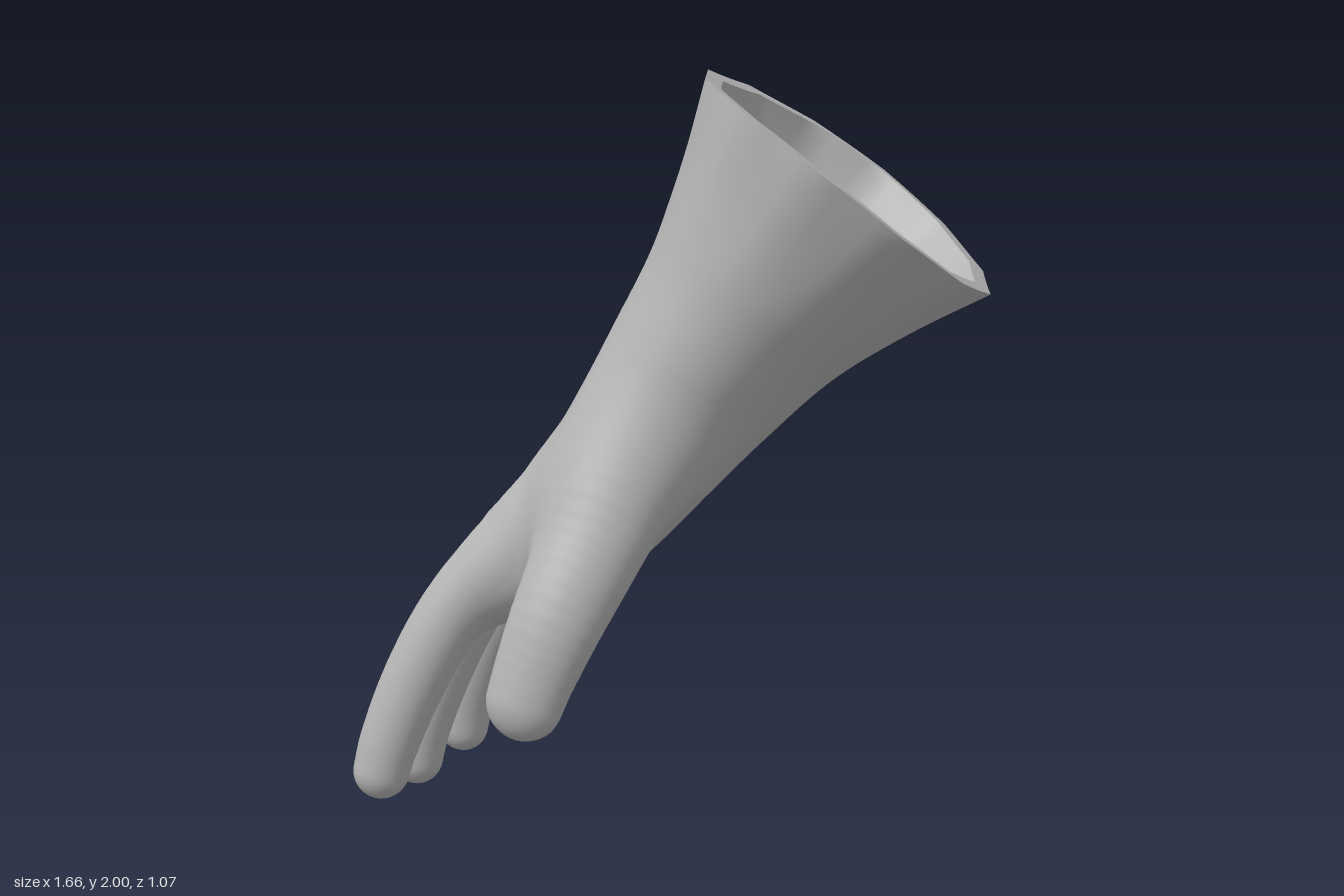
import * as THREE from 'three';

const SEG = 48, WRIST = 0.6, CELL = 0.016;
const glove = new THREE.MeshStandardMaterial({ color: 0xb4b4b4 });
glove.name = 'glove grey';

// Arm frame: origin at the rim centre, s runs down to the fingers, u toward the back of the hand
const ORIGIN = new THREE.Vector3(0.4525, 1.715, 0);
const DOWN = new THREE.Vector3(-0.608, -0.794, 0);
const BACK = new THREE.Vector3(-0.794, 0.608, 0);

// Sections from rim to knuckles: s, back u, palm u, z min, z max, squareness
const SECTIONS = [
  [0, 0.469, -0.469, -0.535, 0.425, 2],
  [0.2, 0.38, -0.375, -0.465, 0.36, 2],
  [0.42, 0.303, -0.293, -0.41, 0.318, 2],
  [0.65, 0.257, -0.25, -0.39, 0.31, 2.1],
  [0.9, 0.212, -0.217, -0.4, 0.312, 2.3],
  [1.1, 0.21, -0.193, -0.42, 0.295, 2.4],
  [1.25, 0.205, -0.165, -0.435, 0.275, 2.5],
  [1.38, 0.195, -0.115, -0.425, 0.25, 2.5],
  [1.47, 0.16, -0.065, -0.39, 0.21, 2.5],
];
const profile = new THREE.CubicInterpolant(
  new Float32Array(SECTIONS.map(s => s[0])), new Float32Array(SECTIONS.flatMap(s => s.slice(1))), 5);

// Digits: path points [x, y, z, radius], in-plane and sideways width, blend into the hand
const DIGITS = [
  { pts: [[-0.36, 0.79, 0.145, 0.09], [-0.46, 0.69, 0.175, 0.092], [-0.57, 0.55, 0.205, 0.087],
    [-0.665, 0.37, 0.235, 0.083], [-0.73, 0.2, 0.26, 0.077], [-0.75, 0.125, 0.268, 0.073]], fu: 1.06, fv: 0.97, blend: 0.07 },
  { pts: [[-0.37, 0.79, 0.02, 0.09], [-0.47, 0.69, 0.02, 0.09], [-0.58, 0.53, 0.015, 0.084],
    [-0.675, 0.34, 0.01, 0.08], [-0.74, 0.16, 0.012, 0.074], [-0.758, 0.075, 0.012, 0.07]], fu: 1.06, fv: 0.97, blend: 0.07 },
  { pts: [[-0.35, 0.79, -0.13, 0.09], [-0.45, 0.68, -0.155, 0.09], [-0.55, 0.52, -0.18, 0.083],
    [-0.635, 0.35, -0.2, 0.079], [-0.695, 0.18, -0.22, 0.073], [-0.712, 0.1, -0.226, 0.07]], fu: 1.06, fv: 0.97, blend: 0.07 },
  { pts: [[-0.32, 0.78, -0.32, 0.09], [-0.41, 0.68, -0.35, 0.088], [-0.5, 0.53, -0.375, 0.08],
    [-0.57, 0.38, -0.395, 0.074], [-0.625, 0.25, -0.415, 0.067], [-0.642, 0.187, -0.42, 0.064]], fu: 1.06, fv: 0.97, blend: 0.07 },
  { pts: [[0.04, 1.17, 0.08, 0.1], [-0.03, 1.03, 0.19, 0.125], [-0.09, 0.9, 0.275, 0.126], [-0.14, 0.76, 0.347, 0.115],
    [-0.195, 0.61, 0.415, 0.102], [-0.245, 0.47, 0.448, 0.09], [-0.262, 0.415, 0.458, 0.086]], fu: 1.17, fv: 0.85, blend: 0.12 },
].map(d => {
  const path = new THREE.CatmullRomCurve3(d.pts.map(p => new THREE.Vector3(p[0] / d.fu, p[1] / d.fu, p[2] / d.fv)));
  const radius = new THREE.CatmullRomCurve3(d.pts.map(p => new THREE.Vector3(p[3], 0, 0)));
  const segs = Array.from({ length: 24 }, (_, i) => {
    const a = path.getPoint(i / 24), b = path.getPoint((i + 1) / 24).sub(a);
    const r = radius.getPoint(i / 24).x;
    return { a, b, bb: b.lengthSq(), r, dr: radius.getPoint((i + 1) / 24).x - r };
  });
  return { ...d, segs };
});

const smin = (a, b, k) => Math.min(a, b) - Math.max(k - Math.abs(a - b), 0) ** 2 / (4 * k);
const along = p => (p[0] - ORIGIN.x) * DOWN.x + (p[1] - ORIGIN.y) * DOWN.y;

// Signed distance to the palm and wrist, rounded off at the knuckles
function bodyField(p) {
  const s = along(p);
  const [ub, up, z0, z1, e] = profile.evaluate(s);
  const u = (p[0] - ORIGIN.x) * BACK.x + (p[1] - ORIGIN.y) * BACK.y - (ub + up) / 2, z = p[2] - (z0 + z1) / 2;
  const n = (Math.abs(2 * u / (ub - up)) ** e + Math.abs(2 * z / (z1 - z0)) ** e) ** (1 / e) + 1e-6;
  return -smin(-Math.hypot(u, z) * (1 - 1 / n), 1.5 - s, 0.1);
}

function digitField(d, p) {
  const x = p[0] / d.fu, y = p[1] / d.fu, z = p[2] / d.fv;
  let best = Infinity;
  for (const { a, b, bb, r, dr } of d.segs) {
    const px = x - a.x, py = y - a.y, pz = z - a.z;
    const h = Math.min(1, Math.max(0, (px * b.x + py * b.y + pz * b.z) / bb));
    const qx = px - h * b.x, qy = py - h * b.y, qz = pz - h * b.z;
    best = Math.min(best, Math.sqrt(qx * qx + qy * qy + qz * qz) - r - h * dr);
  }
  return best;
}

// Hand with fingers and thumb melted softly into it
function handField(p) {
  const body = bodyField(p);
  let f = body;
  for (const d of DIGITS) f = Math.min(f, smin(body, digitField(d, p), d.blend));
  return f;
}

function gradient(p) {
  const h = 0.008;
  return [0, 1, 2].map(a => {
    const q = [...p], r = [...p];
    q[a] += h;
    r[a] -= h;
    return (handField(q) - handField(r)) / (2 * h);
  });
}

function makeMesh(name, pos, idx, normals) {
  const g = new THREE.BufferGeometry();
  g.setAttribute('position', new THREE.Float32BufferAttribute(pos, 3));
  g.setIndex(idx);
  if (normals) g.setAttribute('normal', new THREE.Float32BufferAttribute(normals, 3));
  else g.computeVertexNormals();
  const mesh = new THREE.Mesh(g, glove);
  mesh.name = name;
  return mesh;
}

// Skin the hand field with one vertex per crossed grid cell, open at the wrist
function buildHand() {
  const min = [-0.88, -0.04, -0.54], n = [78, 92, 72];
  const step = [1, n[0], n[0] * n[1]], total = step[2] * n[2];
  const at = i => [i % n[0], Math.floor(i / n[0]) % n[1], Math.floor(i / step[2])];
  const vals = new Float32Array(total), cells = new Int32Array(total).fill(-1);
  for (let i = 0; i < total; i++) vals[i] = handField(at(i).map((c, a) => min[a] + c * CELL));

  const pos = [], normals = [], low = [], idx = [];
  const vertex = cell => {
    if (cells[cell] >= 0) return cells[cell];
    const sum = [0, 0, 0], base = at(cell);
    let count = 0;
    for (let c = 0; c < 8; c++) for (let a = 0; a < 3; a++) {
      if (c >> a & 1) continue;
      const o = [c & 1, c >> 1 & 1, c >> 2 & 1];
      const i = cell + o[0] + o[1] * step[1] + o[2] * step[2];
      const v = vals[i], w = vals[i + step[a]];
      if (v < 0 === w < 0) continue;
      o[a] = v / (v - w);
      o.forEach((t, k) => { sum[k] += t; });
      count++;
    }
    let p = sum.map((t, a) => min[a] + (base[a] + t / count) * CELL);
    const clipped = along(p) < WRIST;
    for (let it = 0; it < 3; it++) {
      const g = gradient(p), f = handField(p) / (g[0] ** 2 + g[1] ** 2 + g[2] ** 2);
      p = p.map((v, a) => v - g[a] * f);
      const lift = clipped ? WRIST - along(p) : 0;
      p[0] += lift * DOWN.x;
      p[1] += lift * DOWN.y;
    }
    pos.push(...p);
    normals.push(...new THREE.Vector3(...gradient(p)).normalize().toArray());
    low.push(clipped);
    return cells[cell] = low.length - 1;
  };

  for (let i = 0; i < total; i++) {
    const c = at(i);
    if (c.some((v, a) => v < 1 || v > n[a] - 3)) continue;
    if (along(c.map((v, a) => min[a] + v * CELL)) < WRIST - 0.05) continue;
    for (let a = 0; a < 3; a++) {
      const inside = vals[i] < 0;
      if (inside === vals[i + step[a]] < 0) continue;
      const b = step[(a + 1) % 3], d = step[(a + 2) % 3];
      const q = [i - b - d, i - d, i, i - b].map(vertex);
      if (q.every(v => low[v])) continue;
      if (!inside) q.reverse();
      idx.push(q[0], q[1], q[2], q[0], q[2], q[3]);
    }
  }
  return makeMesh('hand', pos, idx, normals);
}

// One ring of the cuff, twelve-sided and slightly bowed at the rim, round lower down
function cuffRing(s, inset = 0, scale = 1) {
  const [ub, up, z0, z1, e] = profile.evaluate(s);
  const facet = Math.max(0, 1 - s * 3);
  return Array.from({ length: SEG }, (_, j) => {
    const a = j / SEG * Math.PI * 2, side = Math.PI / 6;
    const flat = Math.cos(side / 2) / Math.cos(a % side - side / 2);
    const k = scale * (1 + facet * (flat - 1));
    const pw = v => Math.sign(v) * Math.abs(v) ** (2 / e) * k;
    const q = ORIGIN.clone().addScaledVector(DOWN, s - 0.03 * facet * Math.sin(a) ** 2 * scale)
      .addScaledVector(BACK, (ub + up) / 2 + ((ub - up) / 2 - inset) * pw(Math.cos(a)));
    q.z = (z0 + z1) / 2 + ((z1 - z0) / 2 - inset) * pw(Math.sin(a));
    return q;
  });
}

function loft(name, rings, inward) {
  const idx = [];
  for (let i = 0; i < rings.length - 1; i++) for (let j = 0; j < SEG; j++) {
    const a = i * SEG + j, c = i * SEG + (j + 1) % SEG;
    const quad = [a, a + SEG, c, c, a + SEG, c + SEG];
    idx.push(...(inward ? quad.reverse() : quad));
  }
  return makeMesh(name, rings.flat().flatMap(p => p.toArray()), idx);
}

export function createModel() {
  const group = new THREE.Group();
  group.name = 'glove';
  group.add(buildHand());

  // Flared cuff lapping under the hand, bowl-shaped lining and the flat rim between them
  const steps = Array.from({ length: 25 }, (_, i) => i / 24);
  group.add(loft('cuff', steps.map(t => cuffRing(t * (WRIST + 0.02)))));
  group.add(loft('lining', steps.map(t => {
    const a = t * Math.PI / 2;
    return cuffRing(0.42 * Math.sin(a), 0.05, Math.max(0.001, Math.cos(a)) ** 0.7);
  }), true));
  group.add(loft('cuffRim', [cuffRing(0, 0.05), cuffRing(0)]));
  return group;
}
